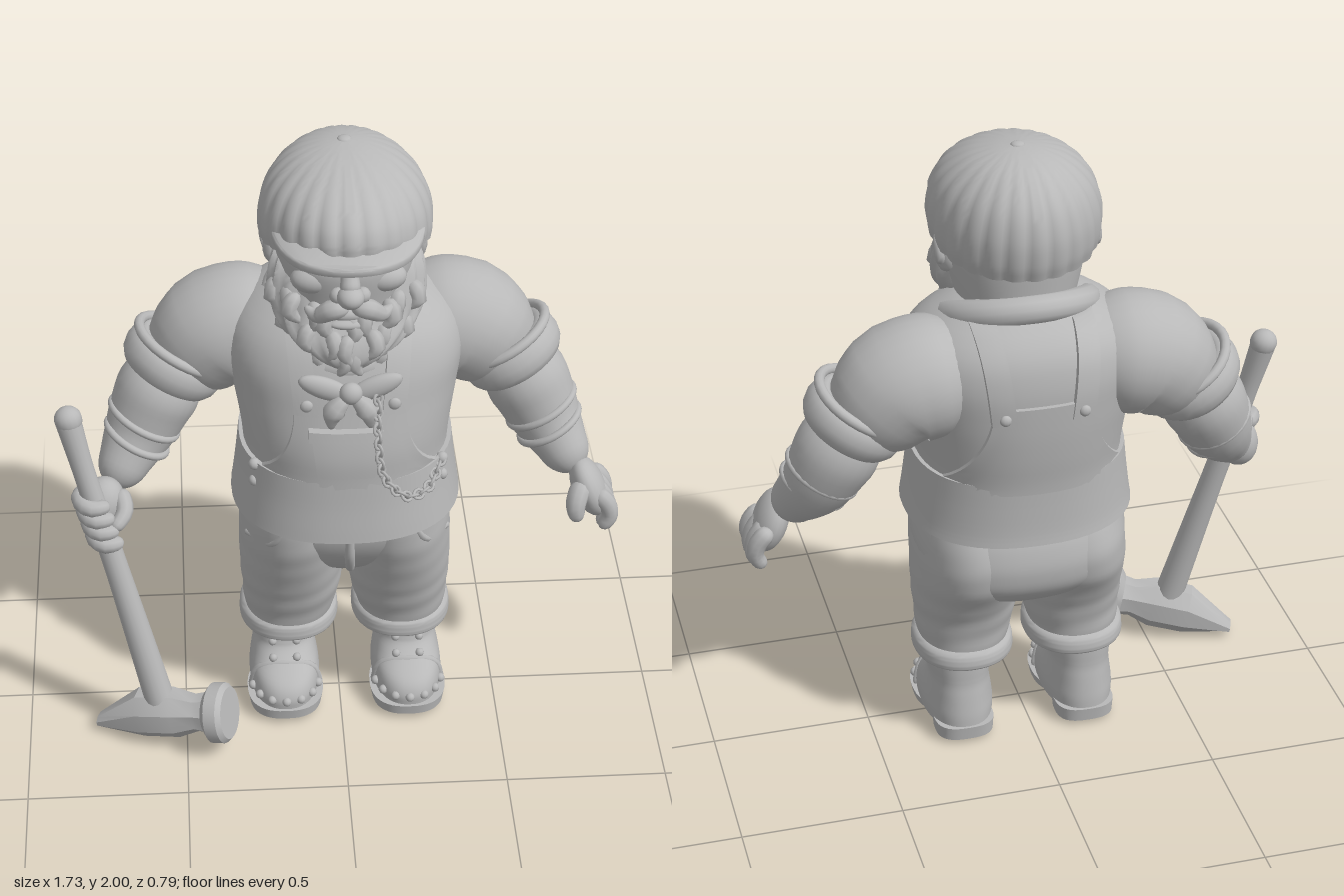
import * as THREE from 'three';
import { toCreasedNormals } from 'three/addons/utils/BufferGeometryUtils.js';

const grey = new THREE.MeshStandardMaterial({ color: 0xb8b8b8 });
grey.name = 'clay grey';
const V = (x, y, z) => new THREE.Vector3(x, y, z);

// Skin a stack of closed rings and cap both ends
function skin(rings) {
  const n = rings[0].length, m = rings.length, pos = [], idx = [];
  rings.forEach(r => r.forEach(p => pos.push(p.x, p.y, p.z)));
  for (const r of [rings[0], rings[m - 1]]) {
    const c = r.reduce((a, p) => a.add(p), V(0, 0, 0)).divideScalar(n);
    pos.push(c.x, c.y, c.z);
  }
  for (let j = 0; j < n; j++) {
    const k = (j + 1) % n, top = (m - 1) * n;
    for (let i = 0; i < m - 1; i++) {
      const a = i * n + j, b = i * n + k;
      idx.push(a, a + n, b, b, a + n, b + n);
    }
    idx.push(m * n, j, k, m * n + 1, top + k, top + j);
  }
  return finish(pos, idx);
}
function finish(pos, idx) {
  const g = new THREE.BufferGeometry();
  g.setAttribute('position', new THREE.Float32BufferAttribute(pos, 3));
  g.setIndex(idx);
  g.computeVertexNormals();
  return g;
}
// Profile rows: [y, centreX, halfWidth, frontZ, backZ]
function profile(keys) {
  const f = new THREE.CubicInterpolant(keys.map(k => k[0]), keys.flatMap(k => k.slice(1)), 4);
  return y => [...f.evaluate(y)];
}
function loft(keys, { p = 2.2, n = 48, steps = 28, warp, crease = 0.8 } = {}) {
  const f = profile(keys), y0 = keys[0][0], y1 = keys[keys.length - 1][0], rings = [];
  for (let i = 0; i <= steps; i++) {
    const y = y0 + (y1 - y0) * i / steps, [cx, rx, zf, zb] = f(y), ring = [];
    for (let j = 0; j < n; j++) {
      const a = j / n * Math.PI * 2, c = Math.cos(a), s = Math.sin(a), w = warp ? warp(a, y) : 1;
      ring.push(V(cx + w * rx * Math.sign(c) * Math.abs(c) ** (2 / p), y,
        (zf + zb) / 2 + w * (zf - zb) / 2 * Math.sign(s) * Math.abs(s) ** (2 / p)));
    }
    rings.push(ring);
  }
  return toCreasedNormals(skin(rings), crease);
}
// Rounded limb through points [x, y, z, radius], mirrored by s
function limb(pts, s = 1, n = 14, steps = 20) {
  const curve = new THREE.CatmullRomCurve3(pts.map(q => V(q[0] * s, q[1], q[2])));
  const len = curve.getLength(), fr = curve.computeFrenetFrames(steps), rings = [];
  for (let i = 0; i <= steps; i++) {
    const u = 0.5 - 0.5 * Math.cos(Math.PI * i / steps), t = curve.getUtoTmapping(u) * (pts.length - 1);
    const k = Math.min(Math.floor(t), pts.length - 2), fi = Math.round(u * steps);
    let r = THREE.MathUtils.lerp(pts[k][3], pts[k + 1][3], t - k);
    const e = Math.min(u, 1 - u) * len / r;
    if (e < 1) r *= Math.max(0.05, Math.sqrt(1 - (1 - e) ** 2));
    const c = curve.getPointAt(u);
    rings.push(Array.from({ length: n }, (_, j) => {
      const a = j / n * Math.PI * 2;
      return c.clone().addScaledVector(fr.normals[fi], r * Math.cos(a)).addScaledVector(fr.binormals[fi], -r * Math.sin(a));
    }));
  }
  return skin(rings);
}

export function createModel() {
  const root = new THREE.Group(), body = new THREE.Group();
  body.name = 'worker';
  body.position.x = 0.02;
  root.add(body);
  const add = (name, geo) => {
    const m = new THREE.Mesh(geo, grey);
    m.name = name;
    body.add(m);
    return m;
  };
  const ball = (name, x, y, z, rx, ry = rx, rz = rx) => {
    const m = add(name, new THREE.SphereGeometry(1, rx > 0.03 ? 20 : 10, rx > 0.03 ? 14 : 7));
    m.position.set(x, y, z);
    m.scale.set(rx, ry, rz);
    return m;
  };

  // Torso and overalls
  const torsoKeys = [[0.81, 0, 0.33, 0.275, -0.335], [1.0, 0, 0.315, 0.265, -0.345], [1.1, 0, 0.325, 0.265, -0.36],
    [1.22, 0, 0.345, 0.245, -0.372], [1.35, 0, 0.36, 0.215, -0.372], [1.44, 0, 0.32, 0.17, -0.345],
    [1.5, 0, 0.24, 0.11, -0.29], [1.54, 0, 0.15, 0.06, -0.22]];
  const torso = profile(torsoKeys);
  add('shirt', loft(torsoKeys, { p: 2.3 }));
  add('overallsSkirt', loft([[0.8, 0, 0.355, 0.3, -0.36], [0.83, 0, 0.35, 0.297, -0.357], [0.92, 0, 0.338, 0.287, -0.355], [1.01, 0, 0.328, 0.28, -0.356]], { p: 2.3 }));
  const surf = (x, y, side) => {
    const [cx, rx, zf, zb] = torso(y);
    return (zf + zb) / 2 + side * (zf - zb) / 2 * Math.max(0, 1 - Math.abs((x - cx) / rx) ** 2.3) ** (1 / 2.3);
  };
  // Cloth plate laid over the torso, with its rim tucked in
  const patch = (name, y0, y1, span, side, lift) => {
    const n = 14, pos = [], idx = [];
    for (let i = 0; i <= n; i++) for (let j = 0; j <= n; j++) {
      const v = THREE.MathUtils.clamp((i - 1) / (n - 2), 0, 1), u = THREE.MathUtils.clamp((j - 1) / (n - 2), 0, 1);
      const y = y0 + (y1 - y0) * v, [a, b] = span(v), x = a + (b - a) * u;
      const rim = i === 0 || j === 0 || i === n || j === n;
      pos.push(x, y, surf(x, y, side) + side * (rim ? -0.01 : lift));
      if (i < n && j < n) {
        const q = i * (n + 1) + j, r = q + n + 1;
        if (side > 0) idx.push(q, q + 1, r, r, q + 1, r + 1);
        else idx.push(q, r, q + 1, r, r + 1, q + 1);
      }
    }
    add(name, toCreasedNormals(finish(pos, idx), 0.7));
  };
  patch('frontBib', 0.98, 1.3, v => { const w = 0.165 + 0.13 * (1 - v) ** 3; return [-w, w]; }, 1, 0.016);
  patch('backBib', 0.98, 1.29, v => { const w = 0.15 + 0.15 * (1 - v) ** 2; return [-w, w]; }, -1, 0.014);
  patch('bibPocket', 1.04, 1.2, v => { const w = 0.085 + 0.02 * v; return [-w - 0.015, w - 0.015]; }, 1, 0.034);
  patch('pocketFlap', 1.165, 1.2, () => [-0.125, 0.095], 1, 0.042);
  for (const s of [-1, 1]) {
    const strap = (a, b) => v => { const c = s * (a + (b - a) * v); return [c - 0.036, c + 0.036]; };
    patch('frontStrap', 1.24, 1.5, strap(0.13, 0.155), 1, 0.026);
    patch('backStrap', 1.24, 1.51, strap(0.12, 0.15), -1, 0.022);
    ball('strapButton', s * 0.13, 1.275, surf(0.13, 1.275, 1) + 0.028, 0.02, 0.02, 0.012);
    ball('strapButton', s * 0.12, 1.265, surf(0.12, 1.265, -1) - 0.024, 0.018, 0.018, 0.012);
    for (const y of [0.94, 1.0]) ball('sideButton', s * 0.285, y, 0.145, 0.019);
  }

  // Collar and neckerchief
  const ringPts = Array.from({ length: 12 }, (_, i) => {
    const a = i / 12 * Math.PI * 2, s = Math.sin(a);
    return V(0.215 * Math.cos(a), 1.45 - 0.09 * s, -0.035 + 0.205 * s);
  });
  add('collar', new THREE.TubeGeometry(new THREE.CatmullRomCurve3(ringPts, true), 48, 0.045, 12, true));
  ball('kerchiefKnot', 0, 1.32, 0.255, 0.035, 0.035, 0.03);
  for (const s of [-1, 1]) {
    const wing = ball('kerchiefWing', s * 0.075, 1.33, 0.238, 0.085, 0.035, 0.025);
    wing.rotation.z = s * 0.4;
    add('kerchiefTail', limb([[0.01, 1.31, 0.255, 0.02], [0.05, 1.26, 0.26, 0.036], [0.06, 1.2, 0.262, 0.008]], s, 8, 12));
  }

  // Watch chain
  const chain = new THREE.CatmullRomCurve3([V(0.08, 1.3, 0.26), V(0.08, 1.17, 0.295), V(0.1, 1.04, 0.3), V(0.17, 0.96, 0.285), V(0.235, 0.955, 0.235), V(0.28, 1.0, 0.16)]);
  for (let i = 0; i <= 24; i++) {
    const link = add('chainLink', new THREE.TorusGeometry(0.014, 0.005, 6, 10));
    link.position.copy(chain.getPointAt(i / 24));
    link.quaternion.setFromUnitVectors(V(1, 0, 0), chain.getTangentAt(i / 24));
    link.rotateX(i % 2 ? 0.8 : -0.8);
    link.scale.x = 1.25;
  }

  // Trousers
  add('trouserSeat', loft([[0.49, 0, 0.06, 0.02, -0.13], [0.53, 0, 0.18, 0.07, -0.24], [0.6, 0, 0.3, 0.15, -0.32],
    [0.68, 0, 0.328, 0.21, -0.345], [0.76, 0, 0.328, 0.24, -0.335], [0.85, 0, 0.31, 0.24, -0.3]], { p: 2.4 }));
  add('flySeam', limb([[0, 0.8, 0.25, 0.012], [0, 0.7, 0.23, 0.016], [0.005, 0.61, 0.175, 0.014]]));
  for (const s of [-1, 1]) {
    add('trouserLeg', loft([[0.29, s * 0.18, 0.135, 0.1, -0.2], [0.36, s * 0.178, 0.145, 0.118, -0.213], [0.42, s * 0.172, 0.155, 0.138, -0.222],
      [0.52, s * 0.17, 0.163, 0.172, -0.26], [0.62, s * 0.168, 0.165, 0.207, -0.315], [0.72, s * 0.163, 0.165, 0.235, -0.325], [0.82, s * 0.16, 0.155, 0.24, -0.29]],
      { warp: (a, y) => 1 + 0.01 * Math.sin(y * 70 + a * 2) * (y < 0.5 ? 1 : 0.3) }));
    add('trouserCuff', loft([[0.275, s * 0.18, 0.14, 0.105, -0.21], [0.285, s * 0.18, 0.154, 0.12, -0.226], [0.31, s * 0.18, 0.157, 0.123, -0.23],
      [0.335, s * 0.18, 0.152, 0.118, -0.222], [0.345, s * 0.18, 0.14, 0.106, -0.21]], { steps: 12 }));
    add('pocketSeam', limb([[0.2, 0.8, 0.228, 0.01], [0.235, 0.74, 0.205, 0.012], [0.315, 0.7, 0.08, 0.01]], s, 8));

    // Boots
    const x = s * 0.198;
    add('bootSole', loft([[0.02, x, 0.115, 0.19, -0.06], [0.055, x, 0.122, 0.195, -0.08]], { p: 2.5, steps: 2 }));
    add('bootHeel', loft([[0.015, x, 0.092, -0.05, -0.215], [0.06, x, 0.095, -0.04, -0.22]], { p: 2.8, steps: 2 }));
    add('boot', loft([[0.05, x, 0.11, 0.185, -0.212], [0.09, x, 0.113, 0.185, -0.21], [0.13, x, 0.108, 0.16, -0.205], [0.165, x, 0.1, 0.1, -0.2],
      [0.2, x, 0.094, 0.055, -0.195], [0.25, x, 0.097, 0.045, -0.195], [0.3, x, 0.1, 0.045, -0.195]], { p: 2.3 }));
    add('toeCapSeam', limb([[x + 0.11, 0.06, 0.06, 0.012], [x + 0.085, 0.14, 0.07, 0.012], [x, 0.165, 0.085, 0.012], [x - 0.085, 0.14, 0.07, 0.012], [x - 0.11, 0.06, 0.06, 0.012]], 1, 8));
    for (let i = 0; i < 7; i++) {
      const a = Math.PI * (0.08 + 0.84 * i / 6);
      ball('toeRivet', x + 0.108 * Math.cos(a), 0.085, 0.06 + 0.125 * Math.sin(a), 0.015);
      ball('soleStud', x + 0.085 * Math.cos(a), 0.016, 0.05 + 0.11 * Math.sin(a), 0.016);
    }
    for (const k of [-1, 1]) {
      for (const y of [0.18, 0.22, 0.26]) ball('laceStud', x + k * 0.038, y, 0.04 + (y < 0.2 ? 0.035 : 0), 0.014);
      ball('heelStud', x + k * 0.045, 0.014, -0.13, 0.014);
    }

    // Sleeves, forearms and wristbands
    add('sleeve', limb([[0.13, 1.32, -0.15, 0.17], [0.28, 1.32, -0.155, 0.19], [0.38, 1.3, -0.155, 0.19], [0.46, 1.23, -0.15, 0.165], [0.55, 1.13, -0.13, 0.12]], s, 28, 28));
    const axis = V(s * 0.5, -0.85, 0.12).normalize();
    const band = (name, px, py, pz, r, tube, stretch) => {
      const t = add(name, new THREE.TorusGeometry(r, tube, 12, 32));
      t.position.set(s * px, py, pz);
      t.quaternion.setFromUnitVectors(V(0, 0, 1), axis);
      t.scale.z = stretch;
    };
    band('sleeveRoll', 0.518, 1.2, -0.14, 0.124, 0.04, 1.5);
    band('sleeveFold', 0.49, 1.25, -0.142, 0.15, 0.016, 1);
    add('forearm', limb([[0.5, 1.22, -0.14, 0.12], [0.575, 1.09, -0.13, 0.132], [0.63, 0.98, -0.1, 0.112], [0.685, 0.89, -0.04, 0.08], [0.72, 0.83, 0.005, 0.068]], s, 24, 28));
    band('wristband', 0.617, 1.01, -0.108, 0.113, 0.012, 1);
    band('wristband', 0.642, 0.955, -0.085, 0.102, 0.012, 1);
  }

  // Open left hand
  const palm = ball('leftPalm', 0.76, 0.785, 0.022, 0.052, 0.105, 0.088);
  palm.rotation.z = 0.38;
  for (let i = 0; i < 4; i++) {
    const z = 0.078 - 0.046 * i, d = i === 0 || i === 3 ? 0.02 : 0;
    add('leftFinger', limb([[0.775, 0.8, z, 0.03], [0.815, 0.74 + d * 0.5, z + 0.004, 0.029], [0.822, 0.69 + d, z + 0.006, 0.026], [0.797, 0.645 + d, z + 0.008, 0.021]], 1, 10, 14));
  }
  add('leftThumb', limb([[0.735, 0.83, 0.065, 0.035], [0.71, 0.78, 0.11, 0.032], [0.715, 0.72, 0.122, 0.022]], 1, 10, 14));

  // Hammer handle and gripping right hand
  add('hammerHandle', limb([[-0.85, 1.18, 0.08, 0.042], [-0.805, 0.98, 0.108, 0.034], [-0.71, 0.6, 0.161, 0.038], [-0.58, 0.06, 0.237, 0.05]], 1, 16, 28));
  add('hammerHandleGrip', limb([[-0.85, 1.185, 0.08, 0.046], [-0.83, 1.1, 0.09, 0.04]], 1, 16));
  ball('rightPalm', -0.755, 0.815, 0.065, 0.07, 0.09, 0.07).rotation.z = -0.3;
  for (let i = 0; i < 4; i++) {
    const y = 0.875 - 0.042 * i, x = -0.772 + 0.012 * i, z = 0.118 + 0.006 * i;
    add('rightFinger', limb([[x - 0.01, y, z - 0.07, 0.028], [x - 0.048, y - 0.005, z - 0.005, 0.028], [x - 0.015, y - 0.01, z + 0.045, 0.027], [x + 0.045, y - 0.01, z + 0.03, 0.022]], 1, 10, 14));
  }
  add('rightThumb', limb([[-0.7, 0.86, 0.06, 0.03], [-0.685, 0.82, 0.12, 0.027], [-0.72, 0.785, 0.17, 0.021]], 1, 10, 14));

  // Hammer head, its length along local y from wedge to face
  const hammer = new THREE.Group();
  hammer.name = 'hammerHead';
  hammer.position.set(-0.605, 0.1, 0.225);
  const along = V(0.41, 0.09, 0.14).normalize(), across = V(0, 1, 0).cross(along).normalize();
  hammer.quaternion.setFromRotationMatrix(new THREE.Matrix4().makeBasis(along.clone().cross(across), along, across));
  for (const [name, rings, n] of [
    ['hammerBody', [[-0.215, -0.03, 0.016, 0.034], [-0.06, 0, 0.084, 0.072], [0.06, 0, 0.086, 0.074], [0.13, 0, 0.062, 0.06], [0.18, 0, 0.07, 0.07]], 8],
    ['hammerFace', [[0.165, 0, 0.07, 0.07], [0.185, 0, 0.096, 0.096], [0.225, 0, 0.096, 0.096], [0.24, 0, 0.083, 0.083]], 24]]) {
    const g = skin(rings.map(([y, cx, rx, rz]) => Array.from({ length: n }, (_, j) => {
      const a = (j + 0.5) / n * Math.PI * 2;
      return V(cx + rx * Math.cos(a), y, rz * Math.sin(a));
    })));
    const m = new THREE.Mesh(toCreasedNormals(g, 0.5), grey);
    m.name = name;
    hammer.add(m);
  }
  body.add(hammer);

  // Head and face
  add('head', loft([[1.38, 0, 0.13, 0.1, -0.19], [1.5, 0, 0.175, 0.17, -0.225], [1.6, 0, 0.2, 0.19, -0.235], [1.68, 0, 0.212, 0.198, -0.24],
    [1.74, 0, 0.215, 0.185, -0.24], [1.82, 0, 0.2, 0.19, -0.22], [1.88, 0, 0.14, 0.13, -0.17]]));
  ball('noseTip', 0, 1.64, 0.235, 0.04, 0.034, 0.042);
  add('noseBridge', limb([[0, 1.75, 0.175, 0.024], [0, 1.69, 0.205, 0.027], [0, 1.645, 0.235, 0.033]]));
  for (const s of [-1, 1]) {
    ball('nostril', s * 0.036, 1.633, 0.212, 0.025);
    ball('cheek', s * 0.1, 1.65, 0.138, 0.07, 0.045, 0.048);
    ball('eye', s * 0.085, 1.715, 0.16, 0.034, 0.02, 0.02);
    add('eyebrow', limb([[0.02, 1.748, 0.188, 0.022], [0.085, 1.765, 0.175, 0.028], [0.16, 1.735, 0.115, 0.016]], s, 10));
    add('moustache', limb([[0.004, 1.595, 0.22, 0.022], [0.05, 1.59, 0.22, 0.032], [0.095, 1.56, 0.198, 0.024], [0.13, 1.575, 0.173, 0.008]], s, 10));
    const ear = ball('ear', s * 0.215, 1.665, -0.045, 0.028, 0.066, 0.045);
    ear.rotation.y = s * 0.3;
    add('earRim', limb([[0.222, 1.625, -0.025, 0.012], [0.238, 1.665, -0.085, 0.014], [0.238, 1.72, -0.06, 0.014], [0.222, 1.7, -0.01, 0.01]], s, 8));
  }
  ball('lowerLip', 0, 1.525, 0.195, 0.06, 0.016, 0.025);
  ball('teeth', 0, 1.55, 0.185, 0.055, 0.02, 0.02);

  // Beard core with rows of curled locks
  add('beard', loft([[1.37, 0, 0.04, 0.215, 0.13], [1.41, 0, 0.12, 0.235, 0.04], [1.46, 0, 0.185, 0.225, -0.02], [1.52, 0, 0.222, 0.188, -0.05],
    [1.58, 0, 0.232, 0.165, -0.06], [1.66, 0, 0.222, 0.12, -0.05], [1.7, 0, 0.205, 0.06, -0.03]],
    { n: 72, warp: (a, y) => 1 + 0.025 * Math.sin(a * 18 + y * 25) }));
  [[1.5, 0.198, 0.135, 11], [1.445, 0.168, 0.16, 9], [1.405, 0.105, 0.157, 6]].forEach(([y, rx, rz, n], row) => {
    for (let i = 0; i < n; i++) {
      const a = Math.PI * (i + 0.5) / n, c = Math.cos(a), s = Math.sin(a), sway = i % 2 ? 0.018 : -0.018;
      const yy = y + 0.07 * Math.abs(c) * (2 - row) * 0.5, z = 0.06 + rz * s;
      add('beardLock', limb([[rx * c, yy + 0.045, z - 0.015, 0.024], [rx * c * 1.05 + sway, yy, z + 0.005, 0.028], [rx * c * 0.95 - sway * 0.5, yy - 0.045, z + 0.01 * s, 0.008]], 1, 8, 10));
    }
  });

  // Ribbed flat cap, lower at the back
  const capProfile = new THREE.CubicInterpolant([0, 0.15, 0.3, 0.5, 0.7, 0.88, 1],
    [0, 0.975, 0.045, 1, 0.11, 0.975, 0.185, 0.84, 0.245, 0.58, 0.276, 0.27, 0.286, 0.02], 2);
  const capRings = Array.from({ length: 27 }, (_, i) => {
    const [h, r] = [...capProfile.evaluate(i / 26)], fade = 1 - h / 0.286;
    return Array.from({ length: 144 }, (_, j) => {
      const a = j / 144 * Math.PI * 2, w = r * (0.975 + 0.03 * Math.abs(Math.cos(a * 12)));
      const z = 0.292 * w * Math.sin(a);
      return V(0.257 * w * Math.cos(a), 1.708 + h + (0.24 * z + 0.25 * z * z) * fade, z - 0.012 - 0.055 * (1 - fade));
    });
  });
  add('cap', toCreasedNormals(skin(capRings), 1));
  ball('capButton', 0, 1.99, -0.07, 0.022, 0.01, 0.022);

  // Curved cap peak
  const peak = new THREE.Shape();
  peak.moveTo(-0.22, 0.1);
  peak.bezierCurveTo(-0.19, 0.42, 0.19, 0.42, 0.22, 0.1);
  peak.quadraticCurveTo(0, 0.2, -0.22, 0.1);
  const peakGeo = new THREE.ExtrudeGeometry(peak, { depth: 0.014, bevelEnabled: true, bevelSize: 0.006, bevelThickness: 0.006, bevelSegments: 2, curveSegments: 24 });
  peakGeo.rotateX(Math.PI / 2);
  const pp = peakGeo.attributes.position;
  for (let i = 0; i < pp.count; i++) pp.setY(i, pp.getY(i) + 1.833 - 1.1 * pp.getX(i) ** 2 - 0.28 * (pp.getZ(i) - 0.2));
  peakGeo.computeVertexNormals();
  add('capPeak', toCreasedNormals(peakGeo, 0.7));

  return root;
}
